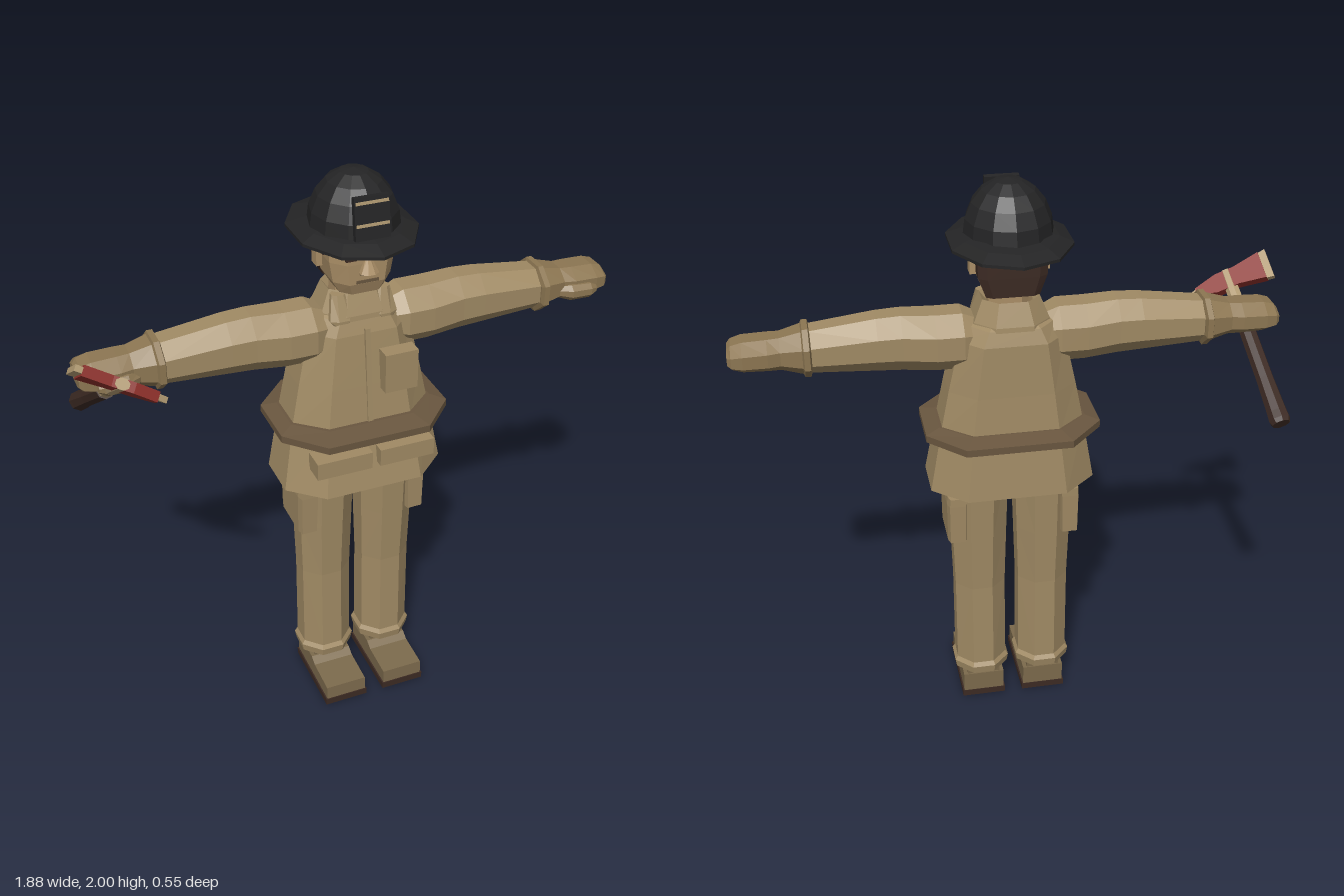
import * as THREE from 'three';

const mat = (name, color) => {
  const m = new THREE.MeshStandardMaterial({ color, flatShading: true });
  m.name = name;
  return m;
};

// Eight-sided loft along y. Rings: [y, rx, rz, cx, cz]; kx, kz set the corner cut.
function loft(rings, kx = 0.41, kz = 0.41) {
  const unit = [[1, kz], [kx, 1], [-kx, 1], [-1, kz], [-1, -kz], [-kx, -1], [kx, -1], [1, -kz]];
  const pts = rings.map(([y, rx, rz, cx = 0, cz = 0]) => unit.map(([u, w]) => [cx + u * rx, y, cz - w * rz]));
  const out = [];
  const tri = (...p) => p.forEach((q) => out.push(...q));
  for (let i = 0; i < pts.length - 1; i++) {
    for (let j = 0; j < 8; j++) {
      const n = (j + 1) % 8;
      tri(pts[i][j], pts[i][n], pts[i + 1][n]);
      tri(pts[i][j], pts[i + 1][n], pts[i + 1][j]);
    }
  }
  const top = pts[pts.length - 1];
  for (let j = 1; j < 7; j++) {
    tri(pts[0][0], pts[0][j + 1], pts[0][j]);
    tri(top[0], top[j], top[j + 1]);
  }
  const g = new THREE.BufferGeometry();
  g.setAttribute('position', new THREE.Float32BufferAttribute(out, 3));
  g.computeVertexNormals();
  return g;
}

const box = (w, h, d, x, y, z) => new THREE.BoxGeometry(w, h, d).translate(x, y, z);

// Mirror across x = 0, keeping faces outward
function mirror(src) {
  const g = src.index ? src.toNonIndexed() : src.clone();
  const p = g.attributes.position;
  for (let i = 0; i < p.count; i += 3) {
    const [a, b, c] = [0, 1, 2].map((k) => new THREE.Vector3().fromBufferAttribute(p, i + k));
    [a, c, b].forEach((v, k) => p.setXYZ(i + k, -v.x, v.y, v.z));
  }
  g.computeVertexNormals();
  return g;
}

export function createModel() {
  const coat = mat('tan cloth', 0xa08a64);
  const skin = mat('skin', 0xab8f67);
  const glove = mat('glove leather', 0x8c7652);
  const belt = mat('belt brown', 0x69563f);
  const boot = mat('boot leather', 0x7c6a4c);
  const dark = mat('dark brown', 0x3c2a23);
  const black = mat('helmet black', 0x242425);
  const red = mat('axe red', 0x8c2f29);
  const pale = mat('pale tan', 0xb19a72);

  const model = new THREE.Group();
  const body = new THREE.Group();
  body.name = 'firefighter';
  body.position.x = 0.012;
  model.add(body);
  const add = (name, geo, material, parent = body) => {
    const m = new THREE.Mesh(geo, material);
    m.name = name;
    parent.add(m);
    return m;
  };
  const pair = (name, geo, material) => {
    add('left ' + name, geo, material);
    add('right ' + name, mirror(geo), material);
  };

  // Coat, hollow below the hem
  add('coat', loft([
    [1.0, 0.25, 0.15, 0, 0.045], [0.925, 0.285, 0.185, 0, 0.05], [1.15, 0.245, 0.153, 0, 0.037],
    [1.3, 0.215, 0.14, 0, 0.033], [1.48, 0.175, 0.126, 0, 0.025], [1.53, 0.14, 0.11, 0, 0.025],
    [1.55, 0.1, 0.08, 0, 0.03]], 0.6, 0.45), coat);
  add('belt', loft([
    [1.12, 0.25, 0.16, 0, 0.04], [1.132, 0.298, 0.228, 0, 0.045], [1.157, 0.298, 0.228, 0, 0.045],
    [1.17, 0.25, 0.16, 0, 0.04]], 0.6, 0.45), belt);
  const placket = add('coat closure', box(0.018, 0.34, 0.01, 0, 0, 0), coat);
  placket.position.set(0, 1.33, 0.172);
  placket.rotation.x = -0.1;
  add('chest pocket', box(0.115, 0.14, 0.055, 0.098, 1.35, 0.187), coat);
  pair('coat pocket', box(0.195, 0.062, 0.08, 0.112, 1.05, 0.206), coat);

  // Collar and neck
  add('neck', loft([[1.5, 0.075, 0.07, 0, 0.03], [1.66, 0.07, 0.07, 0, 0.03]]), skin);
  add('collar', loft([
    [1.5, 0.13, 0.115, 0, 0.025], [1.54, 0.125, 0.11, 0, 0.025], [1.615, 0.095, 0.082, 0, 0.025],
    [1.57, 0.06, 0.05, 0, 0.03]], 0.5, 0.45), coat);
  pair('collar flap', loft([
    [1.505, 0.02, 0.018, 0.075, 0.12], [1.53, 0.045, 0.02, 0.07, 0.118],
    [1.61, 0.025, 0.02, 0.075, 0.09]]), coat);

  // Head and face
  add('head', loft([
    [1.62, 0.075, 0.07, 0, 0.065], [1.66, 0.098, 0.098, 0, 0.052], [1.73, 0.11, 0.104, 0, 0.05],
    [1.83, 0.116, 0.106, 0, 0.048]], 0.6, 0.55), skin);
  add('hair', loft([
    [1.635, 0.088, 0.035, 0, -0.025], [1.7, 0.112, 0.04, 0, -0.022], [1.82, 0.118, 0.042, 0, -0.02]], 0.75, 0.6), dark);
  pair('sideburn', box(0.012, 0.05, 0.05, 0.111, 1.765, 0.045), dark);
  pair('ear', box(0.02, 0.08, 0.04, 0.121, 1.735, 0.03), skin);
  pair('eye', box(0.036, 0.014, 0.008, 0.056, 1.752, 0.153), dark);
  pair('eyebrow', box(0.045, 0.009, 0.008, 0.056, 1.776, 0.154), dark);
  add('mouth', box(0.075, 0.01, 0.006, 0, 1.668, 0.151), belt);
  add('nose', loft([
    [1.695, 0.03, 0.014, 0, 0.155], [1.702, 0.03, 0.022, 0, 0.164], [1.755, 0.007, 0.008, 0, 0.153]]), skin);

  // Helmet
  const brim = new THREE.LatheGeometry(
    [[0, 0.012], [0.62, 0.012], [1, 0], [1, 0.01], [0.78, 0.028], [0.62, 0.035]].map(([x, y]) => new THREE.Vector2(x, y)), 10);
  add('helmet brim', brim.scale(0.205, 1, 0.258).translate(0, 1.797, 0.022), black);
  const dome = new THREE.SphereGeometry(1, 12, 5, 0, Math.PI * 2, 0, Math.PI / 2);
  add('helmet dome', dome.scale(0.148, 0.185, 0.158).translate(0, 1.815, 0.037), black);
  const badge = new THREE.Group();
  badge.name = 'helmet front plate';
  badge.position.set(-0.002, 1.895, 0.18);
  badge.rotation.x = -0.13;
  body.add(badge);
  add('plate', box(0.115, 0.135, 0.02, 0, 0, 0), black, badge);
  for (const y of [-0.02, 0.05]) add('plate stripe', box(0.108, 0.009, 0.008, 0, y, 0.01), pale, badge);

  // Arms run along x: rings are [x, half height, half depth, -y, z]
  const along = (rings, y = 1.47) =>
    loft(rings.map(([x, h, d, z = 0.035, dy = 0]) => [x, h, d, -y - dy, z])).rotateZ(-Math.PI / 2);
  pair('sleeve', along([
    [0.11, 0.075, 0.08], [0.16, 0.098, 0.1], [0.25, 0.098, 0.1], [0.36, 0.096, 0.09, 0.035, 0.008],
    [0.44, 0.092, 0.088, 0.035, 0.008], [0.66, 0.073, 0.08]]), coat);
  pair('glove cuff', along([
    [0.652, 0.07, 0.085], [0.657, 0.084, 0.1], [0.676, 0.084, 0.1], [0.682, 0.07, 0.085]]), glove);
  pair('glove', along([
    [0.67, 0.077, 0.09], [0.75, 0.056, 0.072], [0.79, 0.055, 0.08], [0.87, 0.052, 0.082],
    [0.905, 0.042, 0.076], [0.918, 0.028, 0.062]]), glove);
  pair('thumb', along([
    [0.73, 0.02, 0.025, 0.085], [0.77, 0.028, 0.028, 0.108], [0.84, 0.026, 0.024, 0.116], [0.865, 0.014, 0.014, 0.115]], 1.455), glove);

  // Legs with flared cuffs and side pockets
  pair('trouser leg', loft([
    [0.12, 0.095, 0.095, 0.115, 0.035], [0.15, 0.1, 0.1, 0.115, 0.035], [0.165, 0.09, 0.09, 0.115, 0.035],
    [0.5, 0.09, 0.086, 0.115, 0.035], [0.72, 0.096, 0.096, 0.115, 0.035], [1.02, 0.102, 0.11, 0.112, 0.035]]), coat);
  pair('cargo pocket', loft([
    [0.72, 0.033, 0.1, 0.2, 0.035], [0.87, 0.036, 0.105, 0.198, 0.035], [0.9, 0.036, 0.105, 0.195, 0.035]], 0.8, 0.75), coat);

  // Boots
  const profile = new THREE.Shape();
  [[-0.04, 0.025], [0.258, 0.025], [0.256, 0.077], [0.13, 0.083], [0.1, 0.1], [-0.04, 0.1]]
    .forEach(([z, y], i) => (i ? profile.lineTo(-z, y) : profile.moveTo(-z, y)));
  const foot = new THREE.ExtrudeGeometry(profile, { depth: 0.15, bevelEnabled: false })
    .rotateY(Math.PI / 2).translate(0.038, 0, 0);
  pair('boot', foot, boot);
  pair('boot shaft', box(0.12, 0.07, 0.13, 0.113, 0.11, 0.03), boot);
  pair('boot sole', box(0.16, 0.025, 0.303, 0.113, 0.0125, 0.11), dark);

  // Axe: local x runs from blade to pick, local y along the handle
  const axe = new THREE.Group();
  axe.name = 'axe';
  const up = new THREE.Vector3(0.05, 0.32, 0.47).normalize();
  const n = new THREE.Vector3(0.87, -0.45, 0.2).cross(up).normalize();
  const along0 = up.clone().cross(n);
  axe.quaternion.setFromRotationMatrix(new THREE.Matrix4().makeBasis(along0, up, n));
  axe.position.set(-0.807, 1.515, 0.215);
  model.add(axe);
  const plate = (pts, d) => {
    const s = new THREE.Shape(pts.map(([x, y]) => new THREE.Vector2(x, y)));
    return new THREE.ExtrudeGeometry(s, { depth: d, bevelEnabled: false }).translate(0, 0, -d / 2);
  };
  add('axe head', plate([[-0.125, -0.052], [-0.03, -0.034], [0.05, -0.034], [0.12, -0.012], [0.12, 0.015],
    [0.04, 0.036], [-0.03, 0.036], [-0.125, 0.052]], 0.034), red, axe);
  add('axe edge', plate([[-0.15, -0.056], [-0.125, -0.052], [-0.125, 0.052], [-0.15, 0.056]], 0.02), pale, axe);
  add('axe pick', plate([[0.12, -0.012], [0.15, 0.002], [0.12, 0.015]], 0.02), pale, axe);
  add('upper handle', loft([[-0.2, 0.024, 0.02], [0.038, 0.022, 0.018]]), pale, axe);
  add('lower handle', loft([
    [-0.575, 0.028, 0.026], [-0.56, 0.034, 0.032], [-0.53, 0.032, 0.03], [-0.4, 0.028, 0.026],
    [-0.19, 0.027, 0.024]]), dark, axe);

  return model;
}
